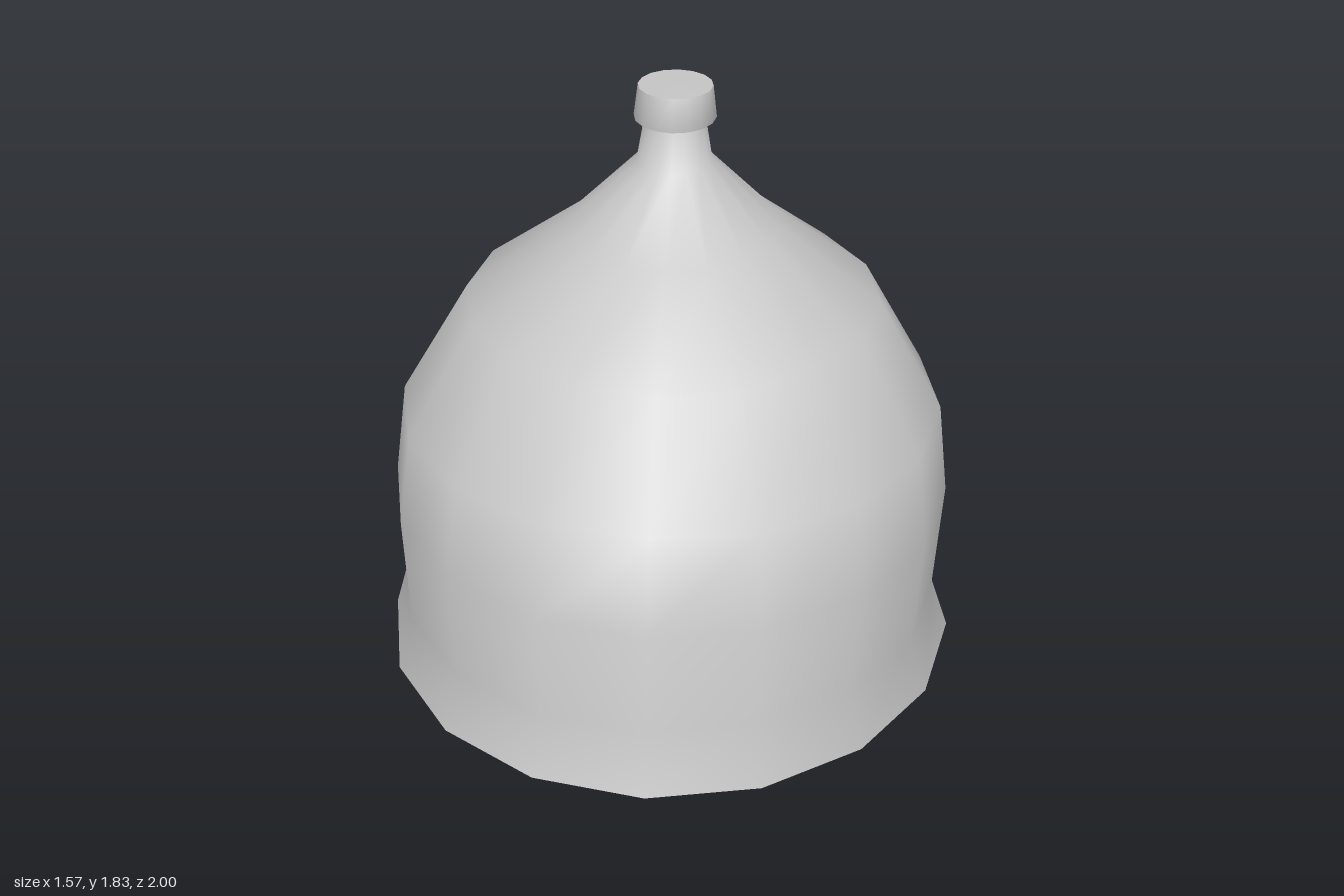
import * as THREE from 'three';

const SIDES = 16;

// Each ring: [front z, front y, back z, back y, half width] - a tilted ellipse.
function loft(rings, name, material) {
  const positions = [];
  const index = [];
  for (const [fz, fy, bz, by, w] of rings) {
    for (let j = 0; j < SIDES; j++) {
      const a = (j / SIDES) * Math.PI * 2;
      const k = (1 + Math.cos(a)) / 2;
      positions.push(w * Math.sin(a), by + (fy - by) * k, bz + (fz - bz) * k);
    }
  }
  for (let i = 0; i < rings.length - 1; i++) {
    for (let j = 0; j < SIDES; j++) {
      const n = (j + 1) % SIDES;
      const a = i * SIDES + j, b = i * SIDES + n;
      const c = b + SIDES, d = a + SIDES;
      index.push(a, b, c, a, c, d);
    }
  }
  const geometry = new THREE.BufferGeometry();
  geometry.setAttribute('position', new THREE.Float32BufferAttribute(positions, 3));
  geometry.setIndex(index);
  geometry.computeVertexNormals();
  const mesh = new THREE.Mesh(geometry, material);
  mesh.name = name;
  return mesh;
}

export function createModel() {
  const group = new THREE.Group();
  group.name = 'helmet';
  const material = new THREE.MeshStandardMaterial({ color: 0xcccccc, side: THREE.DoubleSide });

  // Open shell: flared brim, bowl, tapering crown and neck
  group.add(loft([
    [1.0, 0.37, -1.0, 0.0, 0.785],
    [0.945, 0.545, -0.81, 0.23, 0.735],
    [0.92, 0.84, -0.89, 0.51, 0.76],
    [0.82, 1.07, -0.875, 0.765, 0.735],
    [0.57, 1.34, -0.735, 1.1, 0.56],
    [0.22, 1.48, -0.49, 1.345, 0.285],
    [-0.035, 1.625, -0.27, 1.59, 0.1],
    [-0.08, 1.745, -0.265, 1.71, 0.08],
  ], 'shell', material));

  // Knob rim with its underside
  group.add(loft([
    [-0.08, 1.74, -0.265, 1.708, 0.08],
    [-0.04, 1.745, -0.305, 1.7, 0.11],
    [-0.07, 1.83, -0.305, 1.785, 0.1],
  ], 'knobRim', material));

  // Knob top disc
  group.add(loft([
    [-0.07, 1.83, -0.305, 1.785, 0.1],
    [-0.187, 1.808, -0.188, 1.808, 0.0005],
  ], 'knobTop', material));

  return group;
}
